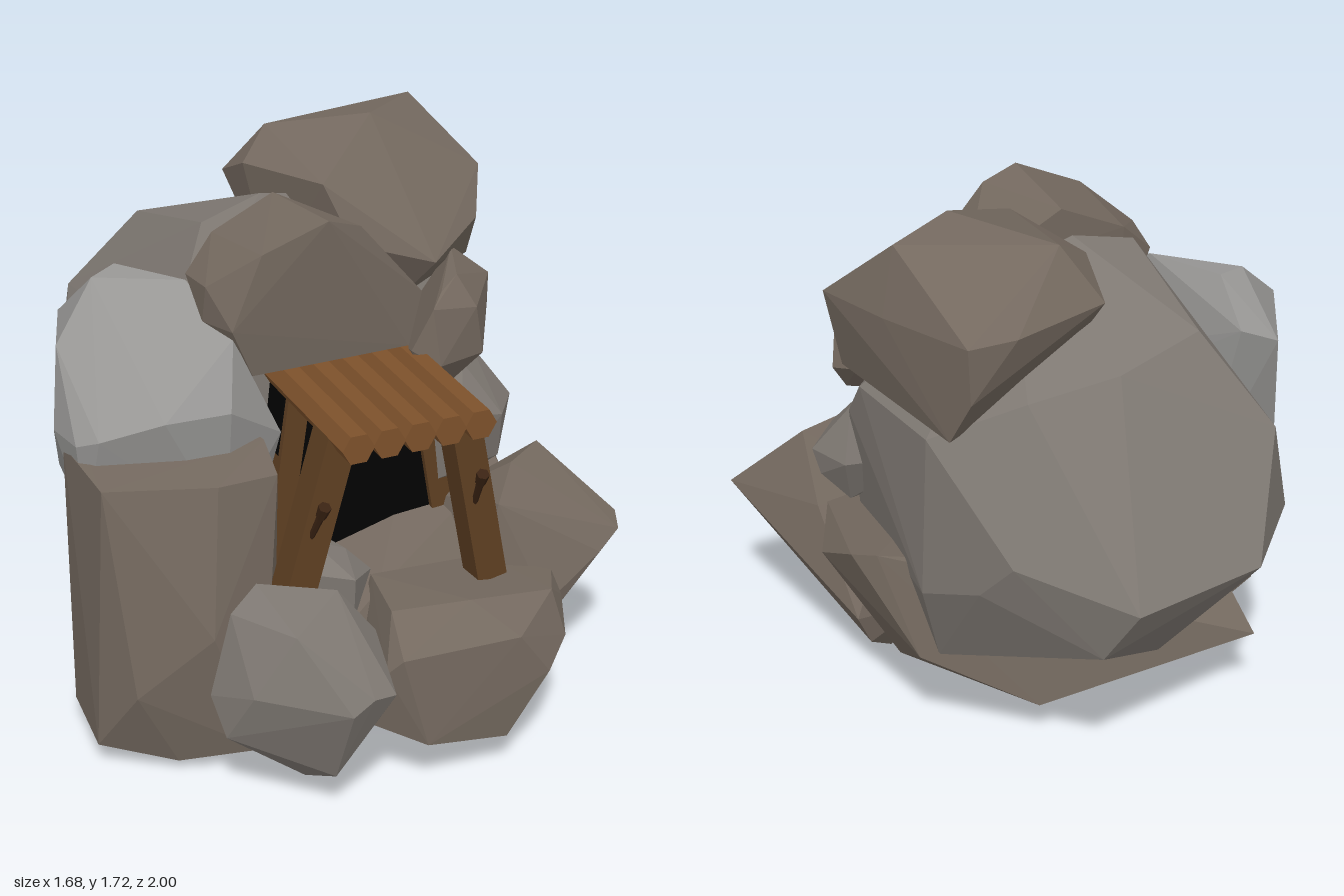
import * as THREE from 'three';
import { ConvexGeometry } from 'three/addons/geometries/ConvexGeometry.js';

const mat = (color) => new THREE.MeshStandardMaterial({ color, flatShading: true });
const brown = mat(0x74695f), grey = mat(0x7e7872), pale = mat(0x979694);
const wood = mat(0x7d512b), post = mat(0x5e3f22), dark = mat(0x3a2313), black = mat(0x020202);

export function createModel() {
  const model = new THREE.Group();
  model.name = 'rockCaveEntrance';

  const add = (name, geometry, material, parent = model) => {
    const mesh = new THREE.Mesh(geometry, material);
    mesh.name = name;
    parent.add(mesh);
    return mesh;
  };
  // faceted rock: hull around a few corner points
  const rock = (name, material, corners) =>
    add(name, new ConvexGeometry(corners.map((c) => new THREE.Vector3(...c))), material);

  // large boulder forming the back
  rock('backBoulder', grey, [
    [-0.02, 0.77, -1], [-0.42, 0.8, -0.9], [-0.62, 0.8, -0.6], [-0.7, 0.85, -0.3],
    [0.28, 0.85, -0.78], [0.35, 0.72, -0.68], [-0.54, 1.12, -0.68], [-0.35, 1.39, -0.54],
    [-0.08, 1.34, -0.64], [-0.3, 1.5, -0.12], [-0.1, 1.55, -0.15], [0.1, 1.5, -0.2],
    [0.18, 1.27, -0.6], [0.45, 1.15, -0.5], [0.54, 1.13, -0.1], [0.47, 0.64, -0.5],
    [0.55, 1.0, 0], [0.4, 0.36, -0.42], [-0.3, 0.33, -0.43], [-0.2, 0.42, -0.68],
    [0.05, 0.58, -0.9], [-0.6, 0.5, -0.3], [0.5, 0.6, 0.1], [0.42, 1.1, 0.1],
    [-0.5, 1.2, 0.1], [-0.4, 0.5, 0.1],
  ]);

  // rock on the very top
  rock('topRock', brown, [
    [0.3, 1.72, -0.23], [0.5, 1.71, -0.38], [0.03, 1.66, -0.42], [0.37, 1.5, -0.66],
    [0.22, 1.5, -0.64], [-0.08, 1.5, -0.5], [-0.08, 1.58, -0.33], [0.05, 1.6, -0.02],
    [0.12, 1.42, 0.05], [0.35, 1.36, 0.14], [0.58, 1.4, -0.05], [0.66, 1.51, -0.2],
    [0.54, 1.5, -0.4], [0.36, 1.32, -0.65], [0.6, 1.24, -0.15], [0.4, 1.17, -0.57],
    [0.3, 1.2, 0], [0, 1.2, -0.3],
  ]);

  // arched slab above the entrance
  rock('archSlab', brown, [
    [-0.28, 1.14, 0.22], [0.22, 1.15, 0.23], [0.3, 1.22, 0.12], [-0.4, 1.3, 0.13],
    [-0.4, 1.42, 0.16], [-0.35, 1.3, 0.24], [-0.26, 1.53, 0.25], [-0.06, 1.61, 0.27],
    [0.05, 1.57, 0.25], [0.26, 1.32, 0.23], [-0.4, 1.4, 0], [-0.3, 1.5, -0.04],
    [-0.1, 1.59, -0.05], [0.2, 1.4, -0.05], [0.25, 1.1, 0], [-0.3, 1.1, 0],
  ]);

  // pale rock on the upper side
  rock('paleRock', pale, [
    [-0.64, 1.37, -0.15], [-0.55, 1.38, -0.2], [-0.4, 1.38, 0], [-0.79, 1.22, -0.05],
    [-0.69, 1.2, -0.33], [-0.57, 1.25, -0.33], [-0.83, 1.02, 0.22], [-0.84, 1, 0.05],
    [-0.34, 1.27, 0.22], [-0.4, 1.1, 0.35], [-0.6, 1.1, 0.34], [-0.2, 0.95, 0.24],
    [-0.78, 1.05, 0.28], [-0.75, 0.75, -0.2], [-0.4, 0.7, 0.3], [-0.22, 0.8, 0.2],
    [-0.5, 0.65, -0.2], [-0.8, 0.75, 0.2],
  ]);

  // tall block below it
  rock('tallBlock', brown, [
    [-0.83, 0.97, 0.1], [-0.82, 0.96, 0.4], [-0.5, 0.95, 0.49], [-0.3, 0.93, 0.45],
    [-0.28, 0.97, 0.3], [-0.35, 0.99, 0], [-0.75, 0.99, -0.08], [-0.84, 0.08, 0.34],
    [-0.82, 0.09, 0.08], [-0.63, 0.04, 0.46], [-0.4, 0.08, 0.56], [-0.25, 0.15, 0.3],
    [-0.67, 0.06, 0], [-0.47, 0.2, -0.1], [-0.3, 0.15, 0], [-0.55, 0.5, 0.57], [-0.76, 0.3, 0.48],
  ]);

  // front rocks around the threshold
  rock('frontGreyRock', grey, [
    [-0.24, 0.47, 1], [-0.3, 0.42, 0.99], [-0.16, 0.45, 0.97], [-0.4, 0.61, 0.82],
    [-0.42, 0.66, 0.57], [-0.52, 0.61, 0.62], [-0.59, 0.36, 0.63], [-0.57, 0.25, 0.7],
    [-0.52, 0.42, 0.79], [-0.35, 0.1, 0.76], [-0.3, 0.15, 0.87], [-0.15, 0.15, 0.7],
    [-0.1, 0.5, 0.7], [-0.1, 0.3, 0.8], [-0.2, 0.63, 0.65], [-0.3, 0.15, 0.5], [-0.2, 0.5, 0.5],
  ]);
  rock('frontSlab', brown, [
    [-0.12, 0.42, 0.82], [-0.05, 0.55, 0.7], [0.2, 0.54, 0.72], [0.48, 0.5, 0.7],
    [0.56, 0.47, 0.55], [0.56, 0.42, 0.62], [0.5, 0.37, 0.76], [0.4, 0.32, 0.85],
    [0.27, 0.12, 0.84], [0, 0.17, 0.86], [-0.16, 0.23, 0.75], [-0.08, 0.47, 0.85],
    [0.3, 0.46, 0.85], [0, 0.53, 0.45], [0.4, 0.48, 0.4], [0.25, 0.1, 0.45], [-0.1, 0.15, 0.45],
  ]);
  rock('leaningRock', brown, [
    [0.84, 0.56, 0.44], [0.82, 0.53, 0.5], [0.63, 0.78, 0.3], [0.5, 0.77, 0.38],
    [0.42, 0.68, 0.46], [0.74, 0.48, 0.53], [0.55, 0.35, 0.55], [0.38, 0.08, 0.54],
    [0.42, 0, 0.28], [0.4, 0.02, 0.16], [0.5, 0.14, 0.02], [0.55, 0.26, -0.02],
    [0.62, 0.58, 0.17], [0.3, 0.22, 0.45], [0.3, 0.2, 0.1], [0.35, 0.6, 0.2],
  ]);
  rock('thresholdStone', grey, [
    [-0.26, 0.62, 0.5], [-0.18, 0.67, 0.42], [-0.07, 0.62, 0.42], [0, 0.55, 0.45],
    [-0.1, 0.59, 0.56], [-0.25, 0.5, 0.35], [-0.02, 0.48, 0.3], [-0.15, 0.66, 0.32], [-0.1, 0.45, 0.55],
  ]);

  // wide ground rock under everything, carrying the boulder
  rock('baseRock', brown, [
    [0.64, 0.71, -0.34], [0.57, 0.71, -0.37], [0.68, 0.6, -0.13], [0.6, 0.62, 0.12],
    [0.46, 0.36, -0.42], [0.45, 0.2, -0.15], [0.1, 0.14, -0.47], [-0.6, 0.26, -0.47],
    [0.2, 0.06, 0], [0, 0.05, 0.4], [-0.3, 0.07, 0.5], [-0.38, 0.1, 0.3],
    [-0.36, 0.09, -0.12], [0.3, 0.1, 0.6], [-0.3, 0.3, 0.6], [0.3, 0.4, 0.5],
    [-0.55, 0.4, -0.3], [-0.1, 0.5, -0.3], [0, 0.5, 0.5],
  ]);

  // two smaller rocks stacked beside the entrance
  rock('upperSideRock', brown, [
    [0.28, 1.27, 0.27], [0.33, 1.3, 0.22], [0.46, 1.35, 0.02], [0.4, 1.33, 0.18],
    [0.57, 1.26, 0.06], [0.59, 1.14, 0.02], [0.54, 1.05, 0.06], [0.54, 1.17, -0.07],
    [0.35, 0.95, 0.18], [0.28, 1, 0.22], [0.21, 1.15, 0.27], [0.3, 1.09, 0.29],
    [0.44, 1.24, 0.24], [0.47, 1.08, 0.23], [0.3, 1.05, -0.05],
  ]);
  rock('lowerSideRock', grey, [
    [0.31, 0.95, 0.24], [0.46, 1, 0.12], [0.54, 1, 0.02], [0.65, 0.84, 0.08],
    [0.63, 0.76, 0.06], [0.58, 0.84, -0.05], [0.55, 0.68, 0.02], [0.45, 0.62, 0.15],
    [0.38, 0.72, 0.28], [0.38, 0.9, 0.28], [0.55, 0.85, 0.22], [0.55, 0.7, 0.2],
    [0.3, 0.65, 0.2], [0.3, 0.8, 0],
  ]);

  // dark mouth of the cave
  const mouth = [[-0.17, 1.1], [0.24, 1.1], [0.34, 0.45], [-0.24, 0.45]];
  rock('caveMouth', black, [0.21, 0].flatMap((z) => mouth.map(([x, y]) => [x, y, z])));

  // timber porch: leaning posts, log roof and pegs
  const porch = new THREE.Group();
  porch.name = 'timberPorch';
  model.add(porch);
  const up = new THREE.Vector3(0, 1, 0);
  const beam = (name, from, to, geometryFor, material) => {
    const a = new THREE.Vector3(...from), b = new THREE.Vector3(...to);
    const mesh = add(name, geometryFor(a.distanceTo(b)), material, porch);
    mesh.position.copy(a).lerp(b, 0.5);
    mesh.quaternion.setFromUnitVectors(up, b.sub(a).normalize());
  };
  // [front foot, front head, rear foot, rear head, peg] x positions per side
  const sides = [[-0.31, -0.155, -0.21, -0.13, -0.24], [0.34, 0.23, 0.36, 0.26, 0.262]];
  for (const [foot, head, rearFoot, rearHead, peg] of sides) {
    const lean = Math.sign(foot) * 0.012;
    beam('frontPost', [foot, 0.51, 0.535], [head, 1.08, 0.535],
      (l) => new THREE.BoxGeometry(0.095, l, 0.105), post);
    beam('rearPost', [rearFoot, 0.5, 0.19], [rearHead, 1.08, 0.19],
      (l) => new THREE.BoxGeometry(0.07, l, 0.08), post);
    beam('peg', [peg + lean, 0.78, 0.58], [peg, 0.9, 0.645],
      (l) => new THREE.CylinderGeometry(0.013, 0.009, l, 6), dark);
    beam('pegHead', [peg + lean / 4, 0.87, 0.63], [peg, 0.91, 0.65],
      (l) => new THREE.CylinderGeometry(0.02, 0.016, l, 6), dark);
  }
  for (let i = -2; i <= 2; i++) {
    const log = add('roofLog', new THREE.CylinderGeometry(0.05, 0.05, 0.6, 6), wood, porch);
    // flat sides face up and down
    log.geometry.rotateY(Math.PI / 6).rotateX(Math.PI / 2);
    log.position.set(0.04 + i * 0.096, 1.092, 0.385);
  }
  return model;
}
